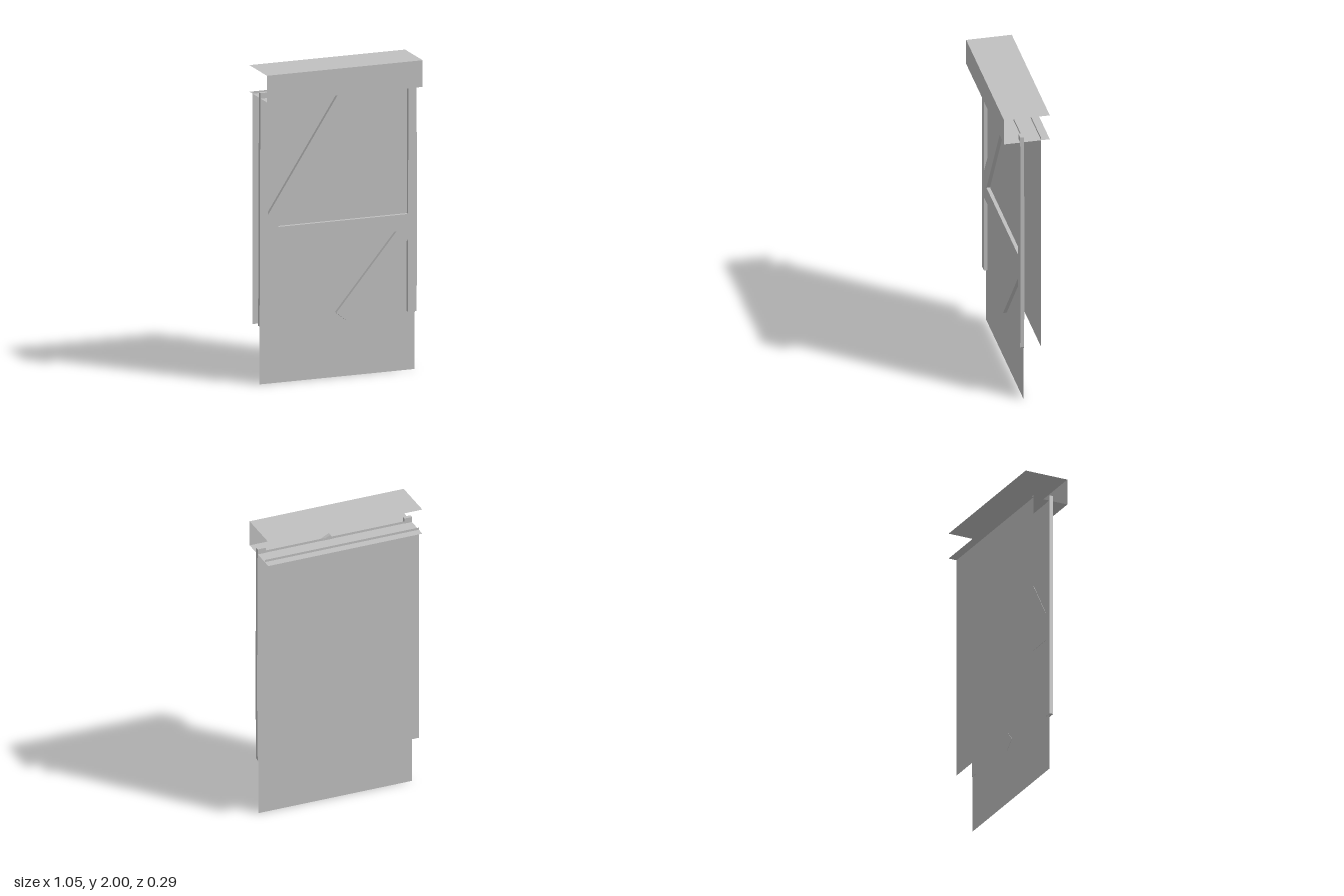
import * as THREE from 'three';

export function createModel() {
  const group = new THREE.Group();
  const grey = new THREE.MeshStandardMaterial({ color: 0xc0c0c0, side: THREE.DoubleSide });
  grey.name = 'plain grey';

  const add = (name, geometry, x = 0, y = 0, z = 0) => {
    const mesh = new THREE.Mesh(geometry, grey);
    mesh.name = name;
    mesh.position.set(x, y, z);
    group.add(mesh);
  };

  const W = 1.04, D = 0.29;

  // Upright sheet between two heights
  const sheet = (name, y0, y1, z, x0 = -W / 2, x1 = W / 2) =>
    add(name, new THREE.PlaneGeometry(x1 - x0, y1 - y0), (x0 + x1) / 2, (y0 + y1) / 2, z);

  // Horizontal sheet across the full depth
  const shelf = (name, y) =>
    add(name, new THREE.PlaneGeometry(W, D).rotateX(-Math.PI / 2), 0, y, 0);

  // Board cut from a corner outline
  const board = (name, points) => {
    const shape = new THREE.Shape(points.map(([x, y]) => new THREE.Vector2(x, y)));
    add(name, new THREE.ExtrudeGeometry(shape, { depth: 0.025, bevelEnabled: false }), 0, 0, 0.018);
  };

  // Header open at the back and ends
  shelf('headerTop', 2);
  shelf('headerShelf', 1.83);
  sheet('headerFront', 1.83, 2, D / 2);

  // Door skins and lower panel
  sheet('backPanel', 0.36, 1.845, -0.09);
  sheet('doorPanel', 0.365, 1.845, 0.02);
  sheet('lowerPanel', 0, 0.365, 0.02, -0.52, 0.515);

  // Slightly tapered side boards
  board('rightUpright', [[-0.527, 0.375], [-0.47, 0.375], [-0.47, 1.865], [-0.522, 1.865]]);
  board('leftUpright', [[0.463, 0.375], [0.52, 0.375], [0.525, 0.85], [0.52, 1.865], [0.466, 1.865]]);

  // Middle rail and diagonal braces
  board('middleRail', [[-0.49, 0.895], [0.49, 0.895], [0.49, 1.0], [-0.49, 1.0]]);
  board('upperBrace', [[-0.47, 0.99], [-0.41, 0.99], [0.11, 1.82], [0.03, 1.86], [-0.47, 1.085]]);
  board('lowerBrace', [[-0.015, 0.415], [0.05, 0.36], [0.467, 0.842], [0.467, 0.9], [0.39, 0.9]]);

  return group;
}
